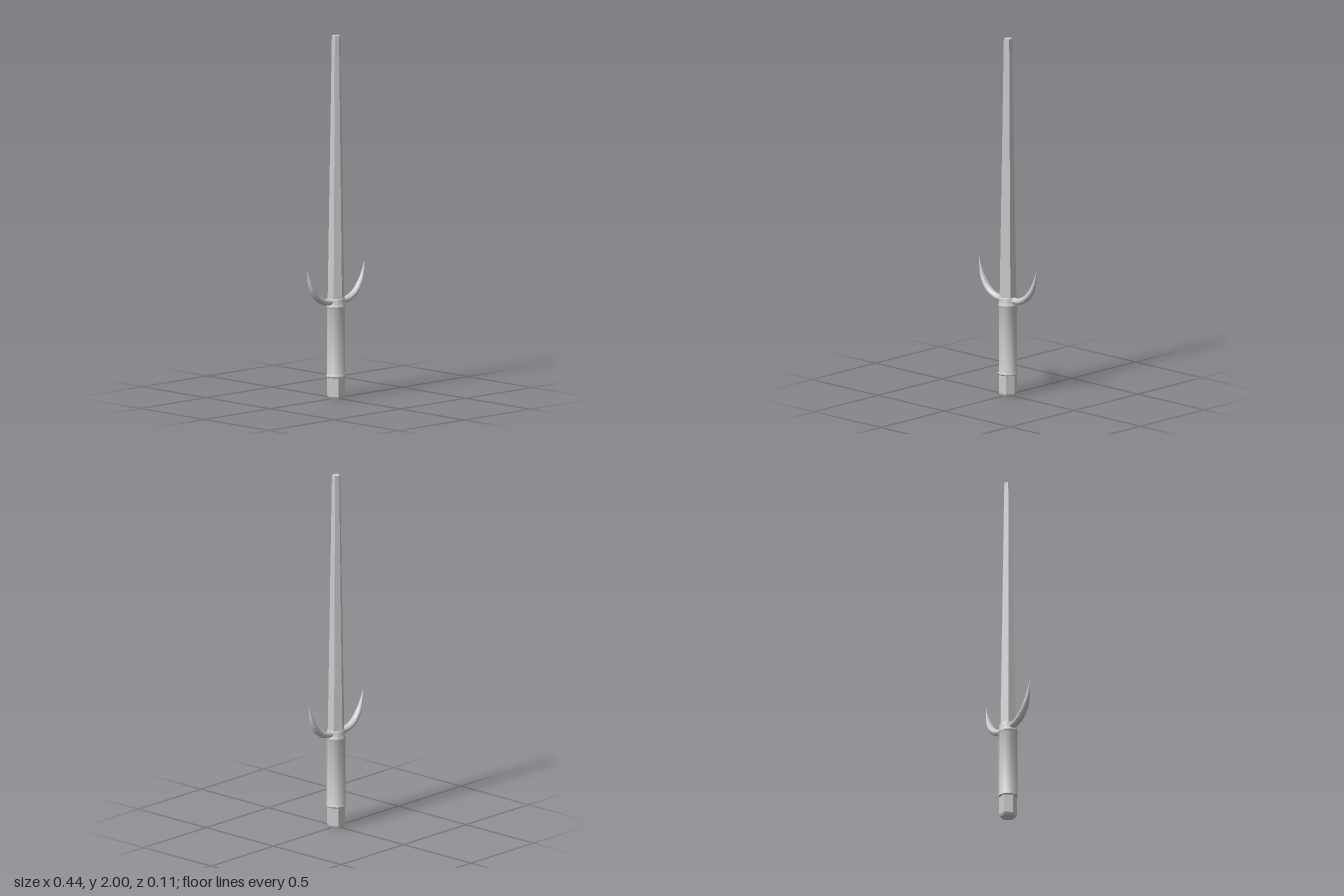
import * as THREE from 'three';
import { toCreasedNormals } from 'three/addons/utils/BufferGeometryUtils.js';

const material = new THREE.MeshStandardMaterial({ color: 0xcccccc });
const flatMaterial = new THREE.MeshStandardMaterial({ color: 0xcccccc, flatShading: true });

function addMesh(parent, name, geometry, mat) {
  const mesh = new THREE.Mesh(geometry, mat);
  mesh.name = name;
  parent.add(mesh);
  return mesh;
}

function lathe(profile, sides) {
  return new THREE.LatheGeometry(profile.map(([r, y]) => new THREE.Vector2(r, y)), sides);
}

// Curved prong: a tube whose rings shrink towards the tip, slightly wider in z
function prongGeometry() {
  const path = new THREE.CatmullRomCurve3([
    [0.02, 0.535], [0.085, 0.538], [0.145, 0.57], [0.188, 0.63], [0.208, 0.69], [0.218, 0.743],
  ].map(([x, y]) => new THREE.Vector3(x, y, 0)));
  const radii = [0.017, 0.0175, 0.018, 0.0175, 0.0155, 0.011, 0.005, 0];
  const rings = 28, sides = 12;
  const geometry = new THREE.TubeGeometry(path, rings, 1, sides);
  const pos = geometry.attributes.position;
  const v = new THREE.Vector3();
  for (let i = 0; i <= rings; i++) {
    const centre = path.getPointAt(i / rings);
    const t = (i / rings) * (radii.length - 1);
    const k = Math.min(Math.floor(t), radii.length - 2);
    const radius = THREE.MathUtils.lerp(radii[k], radii[k + 1], t - k);
    for (let j = 0; j <= sides; j++) {
      const n = i * (sides + 1) + j;
      v.fromBufferAttribute(pos, n).sub(centre).multiplyScalar(radius);
      v.z *= 1.18;
      v.add(centre);
      pos.setXYZ(n, v.x, v.y, v.z);
    }
  }
  geometry.computeVertexNormals();
  return toCreasedNormals(geometry, 0.9);
}

export function createModel() {
  const model = new THREE.Group();
  model.name = 'prongedDagger';

  // Tapering six-sided blade
  const blade = addMesh(model, 'blade', new THREE.CylinderGeometry(0.0235, 0.047, 1.46, 6), flatMaterial);
  blade.position.y = 1.27;

  // Round grip with a rim at each end and a narrower neck under the blade
  const grip = lathe([
    [0, 0.116], [0.05, 0.116], [0.055, 0.121], [0.055, 0.127], [0.051, 0.133],
    [0.051, 0.498], [0.055, 0.504], [0.055, 0.51], [0.049, 0.522],
    [0.049, 0.548], [0.046, 0.553], [0, 0.553],
  ], 10);
  addMesh(model, 'grip', toCreasedNormals(grip, 0.75), material);

  // Six-sided pommel with a bevelled foot
  const pommel = addMesh(model, 'pommel',
    lathe([[0, 0], [0.043, 0], [0.05, 0.012], [0.05, 0.12], [0, 0.12]], 6), flatMaterial);
  pommel.rotation.y = Math.PI / 6;

  // Mirrored pair of prongs
  const prong = prongGeometry();
  addMesh(model, 'leftProng', prong, material);
  addMesh(model, 'rightProng', prong, material).rotation.y = Math.PI;

  return model;
}
